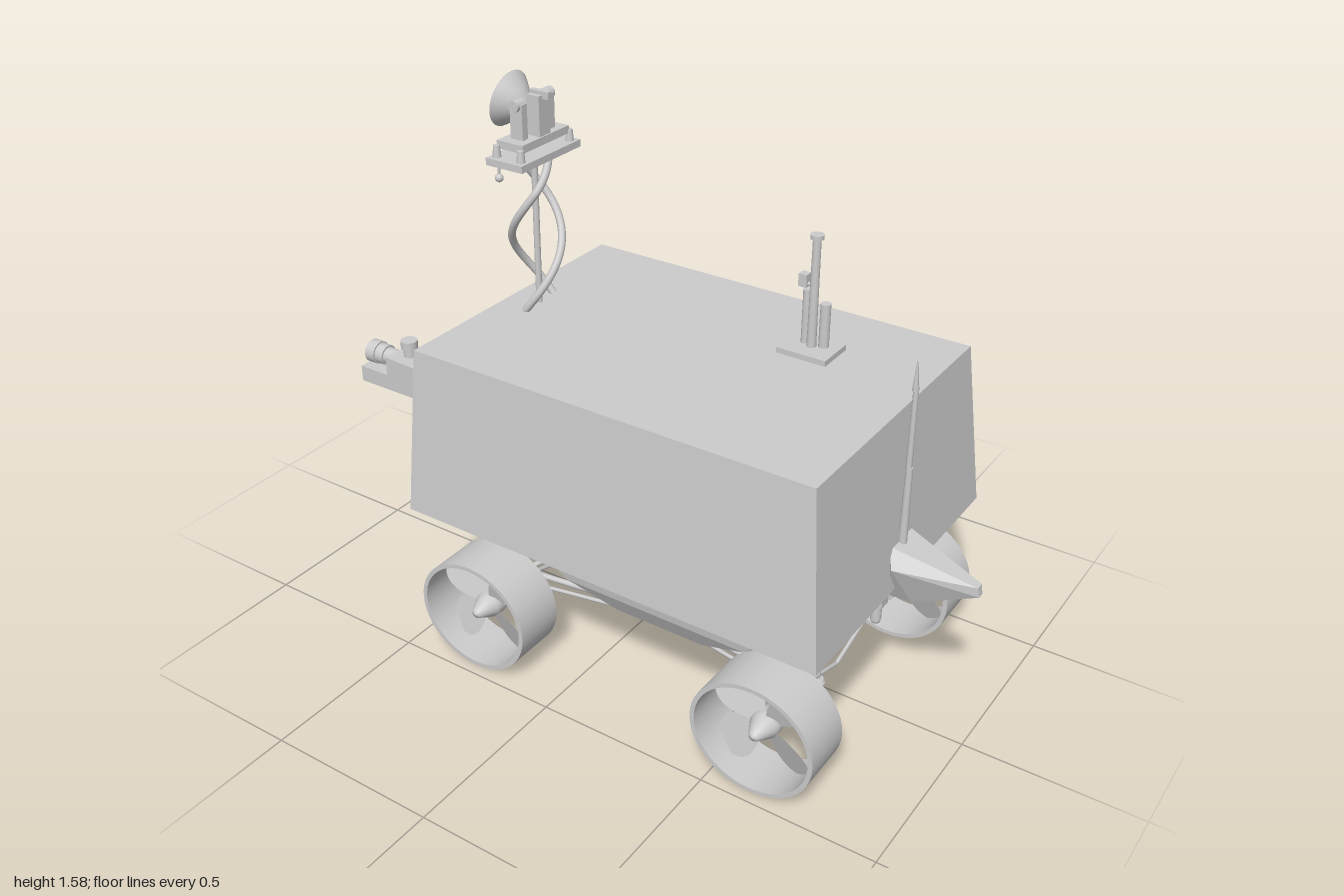
import * as THREE from 'three';
import { ConvexGeometry } from 'three/addons/geometries/ConvexGeometry.js';

const mat = new THREE.MeshStandardMaterial({ color: 0xcccccc });
const flat = new THREE.MeshStandardMaterial({ color: 0xcccccc, flatShading: true });
const thin = new THREE.MeshStandardMaterial({ color: 0xcccccc, side: THREE.DoubleSide });
const V = (x, y, z) => new THREE.Vector3(x, y, z);

function add(parent, name, geo, x = 0, y = 0, z = 0, material = mat) {
  const m = new THREE.Mesh(geo, material);
  m.name = name;
  m.position.set(x, y, z);
  parent.add(m);
  return m;
}
const box = (p, name, x, y, z, w, h, d) => add(p, name, new THREE.BoxGeometry(w, h, d), x, y, z);
const cyl = (p, name, x, y, z, r0, r1, h, n = 16) =>
  add(p, name, new THREE.CylinderGeometry(r1, r0, h, n), x, y, z);

// Straight rod between two points
function rod(p, name, a, b, r) {
  const m = add(p, name, new THREE.CylinderGeometry(r, r, a.distanceTo(b), 8));
  m.position.copy(a).lerp(b, 0.5);
  m.quaternion.setFromUnitVectors(V(0, 1, 0), b.clone().sub(a).normalize());
  return m;
}

// Solid skinned over a few corner points
const solid = (p, name, pts) => add(p, name, new ConvexGeometry(pts.map(q => V(...q))), 0, 0, 0, flat);

// Tapered block from rectangles [x0, x1, halfDepth, y]
const taper = (p, name, ...rects) => solid(p, name, rects.flatMap(([x0, x1, d, y]) =>
  [[x0, y, -d], [x1, y, -d], [x0, y, d], [x1, y, d]]));

// Wheel facing +z: thin rim, four twisted blades and a pointed hub
function wheel() {
  const g = new THREE.Group();
  const rim = new THREE.LatheGeometry([[0.153, -0.077], [0.165, -0.077], [0.165, 0.077], [0.153, 0.077], [0.153, -0.077]]
    .flatMap(([r, y], i, all) => i && i < 4 ? [new THREE.Vector2(r, y), new THREE.Vector2(r, y)] : [new THREE.Vector2(r, y)]), 48);
  add(g, 'wheelRim', rim, 0, 0, 0, thin).rotation.x = Math.PI / 2;
  const petal = new THREE.Shape();
  petal.moveTo(0.02, -0.012);
  petal.bezierCurveTo(0.06, -0.06, 0.13, -0.075, 0.152, -0.03);
  petal.quadraticCurveTo(0.162, 0, 0.152, 0.03);
  petal.bezierCurveTo(0.13, 0.075, 0.06, 0.06, 0.02, 0.012);
  for (let i = 0; i < 4; i++) {
    const arm = new THREE.Group();
    arm.rotation.z = Math.PI / 4 + i * Math.PI / 2;
    add(arm, 'wheelBlade', new THREE.ShapeGeometry(petal, 10), 0, 0, 0, thin).rotation.x = 0.4;
    g.add(arm);
  }
  const hub = [[0, -0.06], [0.03, -0.06], [0.038, -0.02], [0.036, 0.01], [0.02, 0.045], [0.012, 0.06], [0, 0.065]];
  add(g, 'wheelHub', new THREE.LatheGeometry(hub.map(h => new THREE.Vector2(...h)), 20)).rotation.x = Math.PI / 2;
  g.scale.x = 1.08;
  return g;
}

export function createModel() {
  const root = new THREE.Group();

  // Body: upper shell, cross-shaped flare and keel
  taper(root, 'bodyShell', [-0.48, 0.79, 0.465, 0.45], [-0.46, 0.74, 0.422, 0.93]);
  taper(root, 'flareLengthwise', [-0.44, 0.77, 0.23, 0.455], [-0.22, 0.54, 0.17, 0.25]);
  taper(root, 'flareCrosswise', [-0.21, 0.54, 0.36, 0.455], [-0.18, 0.51, 0.245, 0.275]);
  const keel = [];
  for (const s of [-1, 1]) {
    keel.push([-0.19, 0.277, s * 0.245], [0.52, 0.277, s * 0.245], [-0.12, 0.22, s * 0.235], [0.46, 0.22, s * 0.235],
      [0.03, 0.155, s * 0.2], [0.31, 0.155, s * 0.2]);
  }
  solid(root, 'keel', [...keel, [0.06, 0.128, 0], [0.28, 0.128, 0]]);

  // Wheels with their suspension
  for (const x of [-0.278, 0.62]) {
    const inward = x < 0 ? 1 : -1;
    for (const s of [-1, 1]) {
      const w = wheel();
      w.name = 'wheel';
      w.position.set(x, 0.166, s * 0.39);
      if (s < 0) w.rotation.y = Math.PI;
      root.add(w);
      cyl(root, 'axle', x, 0.17, s * 0.32, 0.012, 0.012, 0.17).rotation.x = Math.PI / 2;
      cyl(root, 'axleCollar', x, 0.17, s * 0.3, 0.03, 0.03, 0.035).rotation.x = Math.PI / 2;
      add(root, 'wheelBracket', new THREE.CapsuleGeometry(0.016, 0.11, 4, 12), x, 0.16, s * 0.235);
      box(root, 'bracketBlock', x, 0.18, s * 0.24, 0.045, 0.05, 0.04);
      rod(root, 'crossRod', V(x, 0.17, s * 0.235), V(x, 0.1, 0), 0.006);
      rod(root, 'upperStrut', V(x, 0.2, s * 0.28), V(x + inward * 0.12, 0.28, s * 0.2), 0.008);
      rod(root, 'trailingRod', V(x, 0.19, s * 0.235), V(x + inward * 0.22, 0.185, s * 0.2), 0.009);
      rod(root, 'lowerTrailingRod', V(x, 0.15, s * 0.235), V(x + inward * 0.3, 0.16, s * 0.19), 0.006);
    }
    rod(root, 'crossBar', V(x, 0.175, -0.24), V(x, 0.175, 0.24), 0.008);
  }
  cyl(root, 'sensorFoot', 0.62, 0.115, 0.105, 0.02, 0.014, 0.012);
  cyl(root, 'sensorStem', 0.62, 0.14, 0.105, 0.006, 0.006, 0.05);

  // Camera arm at the -x end
  const arm = new THREE.Group();
  arm.name = 'cameraArm';
  root.add(arm);
  // Cross-sections along the arm: x, low y, high y, half depth
  const cuts = [[-0.46, 0.475, 0.505, 0.012], [-0.55, 0.485, 0.55, 0.016], [-0.63, 0.525, 0.605, 0.025], [-0.79, 0.53, 0.635, 0.055], [-0.895, 0.53, 0.64, 0.055]];
  for (let i = 0; i < cuts.length - 1; i++) {
    solid(arm, 'armSegment', [cuts[i], cuts[i + 1]].flatMap(([x, a, b, d]) =>
      [[x, a, 0.04 - d], [x, a, 0.04 + d], [x, b, 0.04 - d], [x, b, 0.04 + d]]));
  }
  box(arm, 'cameraTray', -0.945, 0.555, 0.04, 0.11, 0.05, 0.11);
  for (const [x, r, w] of [[-0.915, 0.026, 0.05], [-0.95, 0.032, 0.03], [-0.983, 0.036, 0.034]]) {
    cyl(arm, 'cameraLens', x, 0.612, 0.04, r, r, w, 24).rotation.z = Math.PI / 2;
  }
  cyl(arm, 'knobStem', -0.845, 0.655, 0.04, 0.019, 0.019, 0.04);
  cyl(arm, 'knobCap', -0.845, 0.678, 0.04, 0.026, 0.026, 0.024);

  // Horn and whip antenna at the +x end
  const horn = [];
  for (const s of [-1, 1]) {
    horn.push([0.77, 0.575, s * 0.055], [0.79, 0.525, s * 0.082], [0.77, 0.41, s * 0.03], [0.83, 0.408, s * 0.025],
      [0.995, 0.512, s * 0.012], [1, 0.485, s * 0.01]);
  }
  solid(root, 'horn', horn);
  cyl(root, 'whipBase', 0.783, 0.66, 0.01, 0.012, 0.009, 0.26, 10);
  cyl(root, 'whipMiddle', 0.781, 0.9, 0.01, 0.008, 0.007, 0.24, 10);
  cyl(root, 'whipTip', 0.779, 1.045, 0.01, 0.008, 0.002, 0.08, 10);

  // Dish mast: centre pole with a pair of helical supports
  const mast = new THREE.Group();
  mast.name = 'dishMast';
  mast.position.set(-0.37, 0, 0);
  root.add(mast);
  cyl(mast, 'mastPole', 0, 1.145, 0, 0.009, 0.009, 0.43);
  for (const s of [-1, 1]) {
    const pts = [];
    for (let i = 0; i <= 32; i++) {
      const y = 1.36 - i * 0.43 / 32, a = Math.PI * (1.36 - y) / 0.29;
      const r = 0.068 * Math.min(1, 0.7 + i / 20);
      pts.push(V(s * r * Math.cos(a), y, s * r * Math.sin(a)));
    }
    add(mast, 'helixSupport', new THREE.TubeGeometry(new THREE.CatmullRomCurve3(pts), 80, 0.011, 10));
    for (const x of [-0.04, 0.04]) cyl(mast, 'standoff', x, 1.395, s * 0.105, 0.012, 0.009, 0.035);
    box(mast, 'dishFork', 0.0, 1.46, s * 0.058, 0.04, 0.12, 0.022);
    cyl(mast, 'forkPivot', 0.0, 1.515, s * 0.062, 0.016, 0.016, 0.035).rotation.x = Math.PI / 2;
  }
  box(mast, 'platform', 0, 1.37, 0, 0.12, 0.02, 0.255);
  box(mast, 'dishBase', 0, 1.413, 0, 0.085, 0.022, 0.2);
  box(mast, 'dishDrive', 0.02, 1.48, 0, 0.04, 0.11, 0.045);
  box(mast, 'driveHandle', 0.03, 1.535, 0, 0.06, 0.02, 0.016);
  cyl(mast, 'platformStem', -0.04, 1.345, 0.1, 0.004, 0.004, 0.04, 8);
  add(mast, 'platformSensor', new THREE.SphereGeometry(0.012, 12, 8), -0.04, 1.32, 0.1);
  // Dish opens toward -x, tipped slightly upward
  const bowl = [[0.001, 0], [0.02, 0.006], [0.05, 0.035], [0.079, 0.07], [0.075, 0.07], [0.046, 0.038], [0.001, 0.01]];
  const dish = add(mast, 'dish', new THREE.LatheGeometry(bowl.map(b => new THREE.Vector2(...b)), 32), -0.01, 1.49, 0, thin);
  dish.rotation.z = Math.PI / 2 - 0.2;
  rod(mast, 'dishShaft', V(-0.01, 1.492, 0), V(0.03, 1.485, 0), 0.018);

  // Roof sensor post
  const post = new THREE.Group();
  post.name = 'sensorPost';
  post.position.set(0.405, 0.93, -0.16);
  root.add(post);
  box(post, 'postPlate', 0, 0.008, 0, 0.145, 0.016, 0.115);
  cyl(post, 'postPole', 0, 0.17, 0, 0.013, 0.011, 0.32);
  cyl(post, 'postCap', 0, 0.326, 0, 0.018, 0.018, 0.012);
  cyl(post, 'postCanister', 0.028, 0.075, -0.015, 0.014, 0.014, 0.13);
  cyl(post, 'postSideTube', -0.025, 0.09, -0.012, 0.012, 0.012, 0.16);
  box(post, 'postSensor', -0.03, 0.2, 0, 0.024, 0.035, 0.024);
  rod(post, 'sensorBracket', V(-0.03, 0.19, 0), V(0, 0.19, 0), 0.006);

  return root;
}
